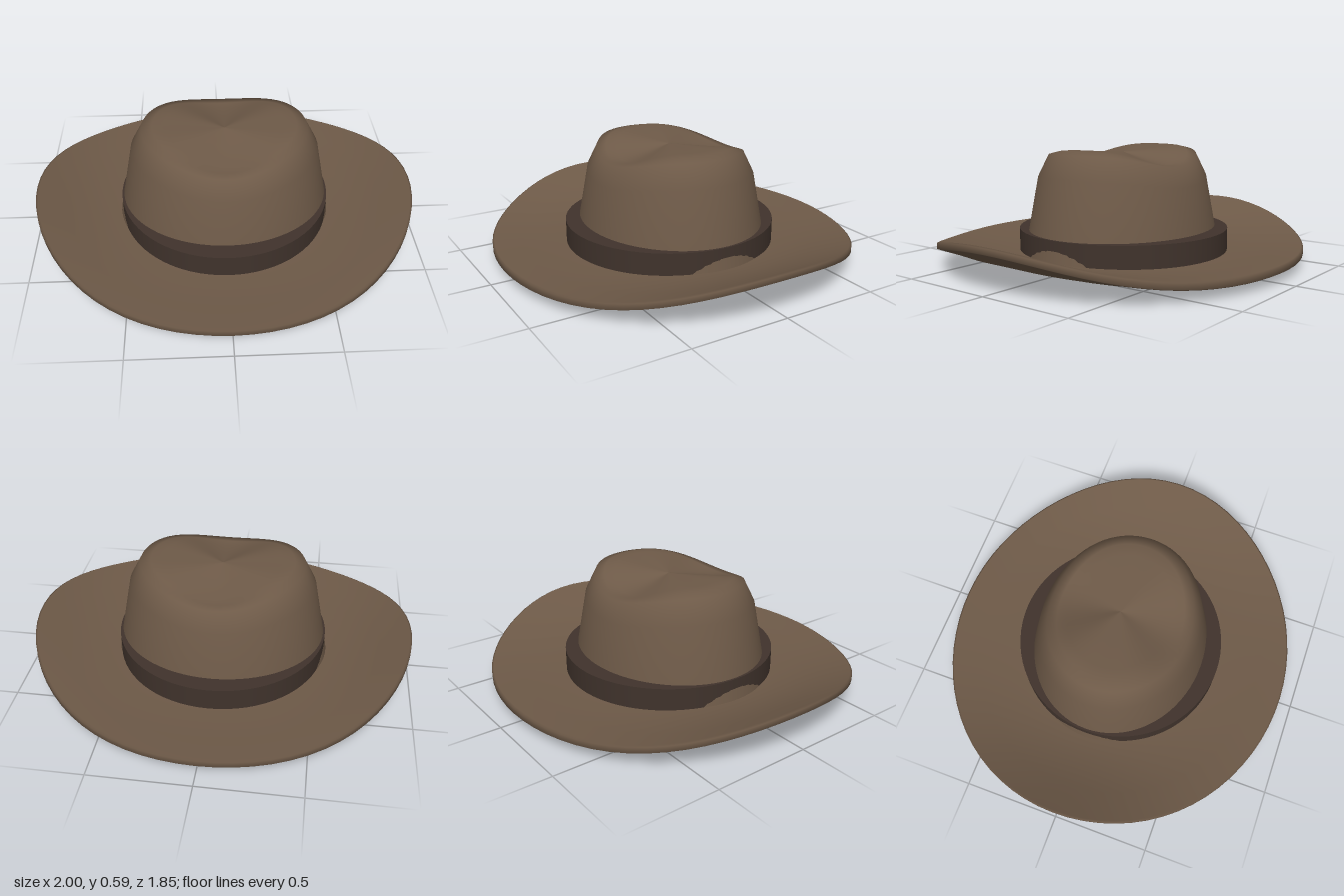
import * as THREE from 'three';

const SEGMENTS = 72;

// Builds a smooth skin through elliptical rings; each ring gives a radius and a height rule
function ringSurface(rings, depthScale, closed) {
  const positions = [];
  const index = [];
  for (const { r, y } of rings) {
    for (let j = 0; j < SEGMENTS; j++) {
      const a = (j / SEGMENTS) * Math.PI * 2;
      positions.push(r * Math.cos(a), y(a), r * depthScale * Math.sin(a));
    }
  }
  const n = rings.length;
  for (let i = 0; i < (closed ? n : n - 1); i++) {
    const p = i * SEGMENTS;
    const q = ((i + 1) % n) * SEGMENTS;
    for (let j = 0; j < SEGMENTS; j++) {
      const k = (j + 1) % SEGMENTS;
      index.push(p + j, q + j, p + k);
      if (rings[(i + 1) % n].r > 0) index.push(q + j, q + k, p + k);
    }
  }
  const geometry = new THREE.BufferGeometry();
  geometry.setAttribute('position', new THREE.Float32BufferAttribute(positions, 3));
  geometry.setIndex(index);
  geometry.computeVertexNormals();
  return geometry;
}

export function createModel() {
  const hat = new THREE.Group();
  hat.name = 'hat';

  const felt = new THREE.MeshStandardMaterial({ color: 0x6e5a48 });
  felt.name = 'brown felt';
  const ribbon = new THREE.MeshStandardMaterial({ color: 0x40332c });
  ribbon.name = 'dark ribbon';

  const add = (name, geometry, material) => {
    const mesh = new THREE.Mesh(geometry, material);
    mesh.name = name;
    hat.add(mesh);
    return mesh;
  };

  // Brim: closed section, curled up at both sides [radius, height at front, side lift]
  const brimRings = [
    [0.42, 0.0, 0.02], [0.55, 0.0, 0.024], [0.67, 0.003, 0.034], [0.84, 0.027, 0.072], [0.985, 0.043, 0.138],
    [1.0, 0.05, 0.138], [1.0, 0.08, 0.136], [0.99, 0.085, 0.135],
    [0.84, 0.07, 0.068], [0.67, 0.06, 0.022], [0.55, 0.058, 0.006], [0.42, 0.058, 0],
  ].map(([r, h, lift]) => ({ r, y: (a) => h + lift * Math.cos(a) ** 4 }));
  add('brim', ringSurface(brimRings, 0.925, true), felt);

  // Crown: tapered oval, pinched down at front and back [radius, height at sides, pinch]
  const crownRings = [
    [0.562, 0.06, 0], [0.54, 0.175, 0], [0.485, 0.46, 0.05], [0.425, 0.575, 0.065],
    [0.37, 0.588, 0.075], [0.31, 0.59, 0.08], [0.15, 0.577, 0.04], [0, 0.566, 0],
  ].map(([r, h, pinch]) => ({ r, y: (a) => h - pinch * Math.sin(a) ** 4 }));
  add('crown', ringSurface(crownRings, 0.855, false), felt);

  // Round band, whose underside also closes the opening
  const band = add('band', new THREE.CylinderGeometry(0.55, 0.55, 0.13, SEGMENTS), ribbon);
  band.position.y = 0.11;

  return hat;
}
